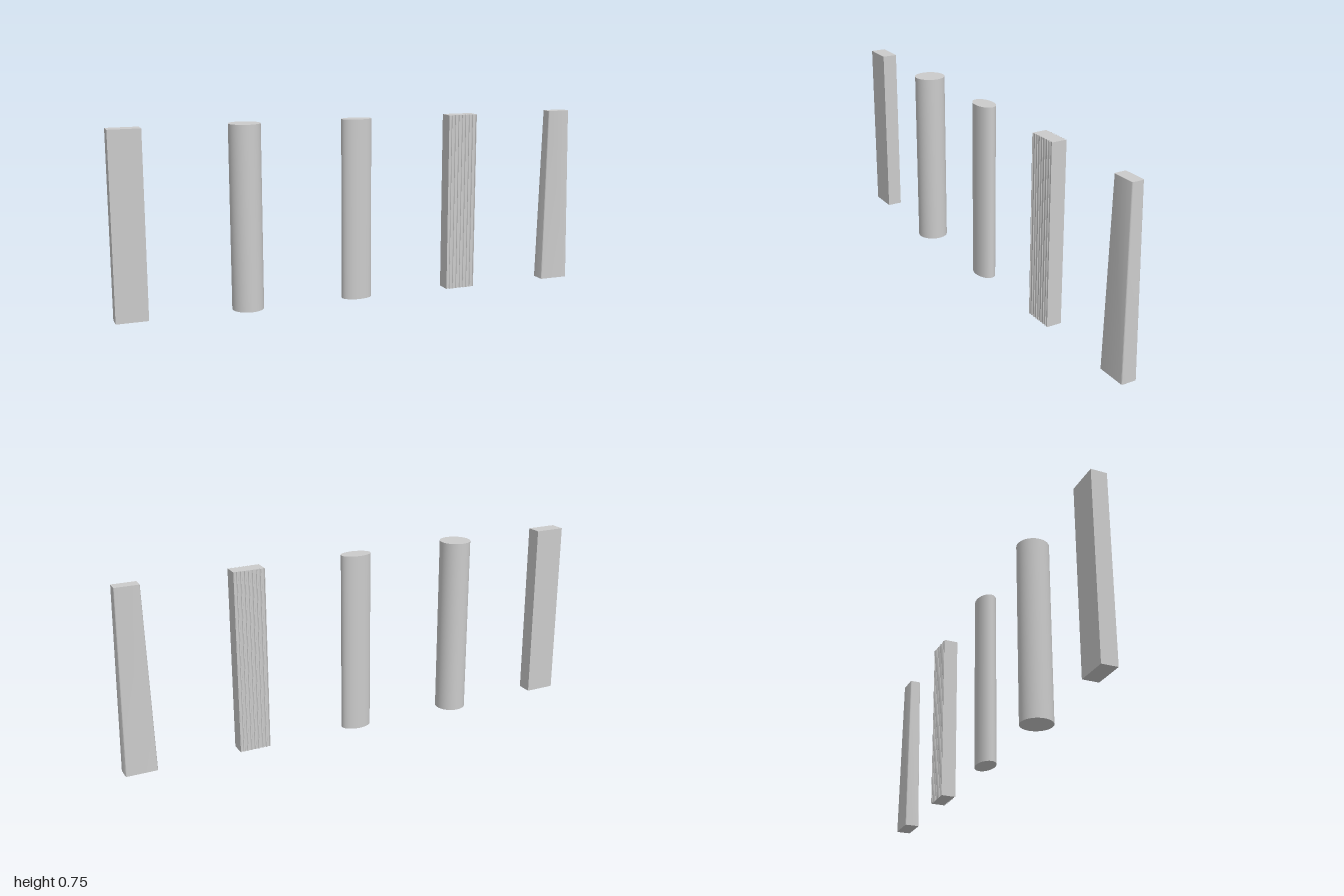
import * as THREE from 'three';
import { toCreasedNormals } from 'three/addons/utils/BufferGeometryUtils.js';

const H = 0.75, W = 0.128, D = 0.064, STEP = 0.468;

// Upright prism from a plan outline, standing on y = 0
function prism(shape) {
  const g = new THREE.ExtrudeGeometry(shape, { depth: H, bevelEnabled: false, curveSegments: 6 });
  return g.rotateX(-Math.PI / 2);
}

// Rectangle with rounded corners
function roundedPlan(w, d, r) {
  const s = new THREE.Shape(), x = w / 2 - r, y = d / 2 - r;
  s.absarc(x, y, r, 0, Math.PI / 2);
  s.absarc(-x, y, r, Math.PI / 2, Math.PI);
  s.absarc(-x, -y, r, Math.PI, Math.PI * 1.5);
  s.absarc(x, -y, r, Math.PI * 1.5, Math.PI * 2);
  s.closePath();
  return s;
}

// Rectangle with shallow round flutes along its front and back
function flutedPlan(count) {
  const pitch = W / count, r = pitch * 0.36, depth = 0.004, n = 8, pts = [];
  for (const side of [-1, 1]) {
    pts.push(new THREE.Vector2(side * W / 2, side * D / 2));
    for (let i = 0; i < count; i++) {
      const cx = -W / 2 + pitch * (i + 0.5);
      for (let k = 0; k <= n; k++) {
        const a = Math.PI * k / n;
        pts.push(new THREE.Vector2(-side * (cx - r * Math.cos(a)), side * (D / 2 - depth * Math.sin(a))));
      }
    }
    pts.push(new THREE.Vector2(-side * W / 2, side * D / 2));
  }
  // front run goes left to right, back run right to left
  return new THREE.Shape(pts);
}

function roundPost(rx, rz) {
  return new THREE.CylinderGeometry(1, 1, H, 64).scale(rx, 1, rz).translate(0, H / 2, 0);
}

// Soft-edged post narrowing evenly towards the top
function taperedPost() {
  const g = prism(roundedPlan(W, D, 0.006));
  const p = g.attributes.position;
  for (let i = 0; i < p.count; i++) {
    const k = 1 - 0.24 * p.getY(i) / H;
    p.setX(i, p.getX(i) * k);
    p.setZ(i, p.getZ(i) * k);
  }
  return toCreasedNormals(g, 0.6);
}

export function createModel() {
  const group = new THREE.Group();
  group.name = 'postSamples';
  const material = new THREE.MeshStandardMaterial({ color: 0xcccccc });

  // Five posts in an evenly spaced row
  const posts = [
    ['rectangularPost', new THREE.BoxGeometry(W, H, D).translate(0, H / 2, 0)],
    ['roundPost', roundPost(W / 2, W / 2)],
    ['ovalPost', roundPost(W / 2, 0.04)],
    ['flutedPost', toCreasedNormals(prism(flutedPlan(8)), 0.6)],
    ['taperedPost', taperedPost()],
  ];
  posts.forEach(([name, geometry], i) => {
    const mesh = new THREE.Mesh(geometry, material);
    mesh.name = name;
    mesh.position.x = (i - 2) * STEP;
    group.add(mesh);
  });
  return group;
}
